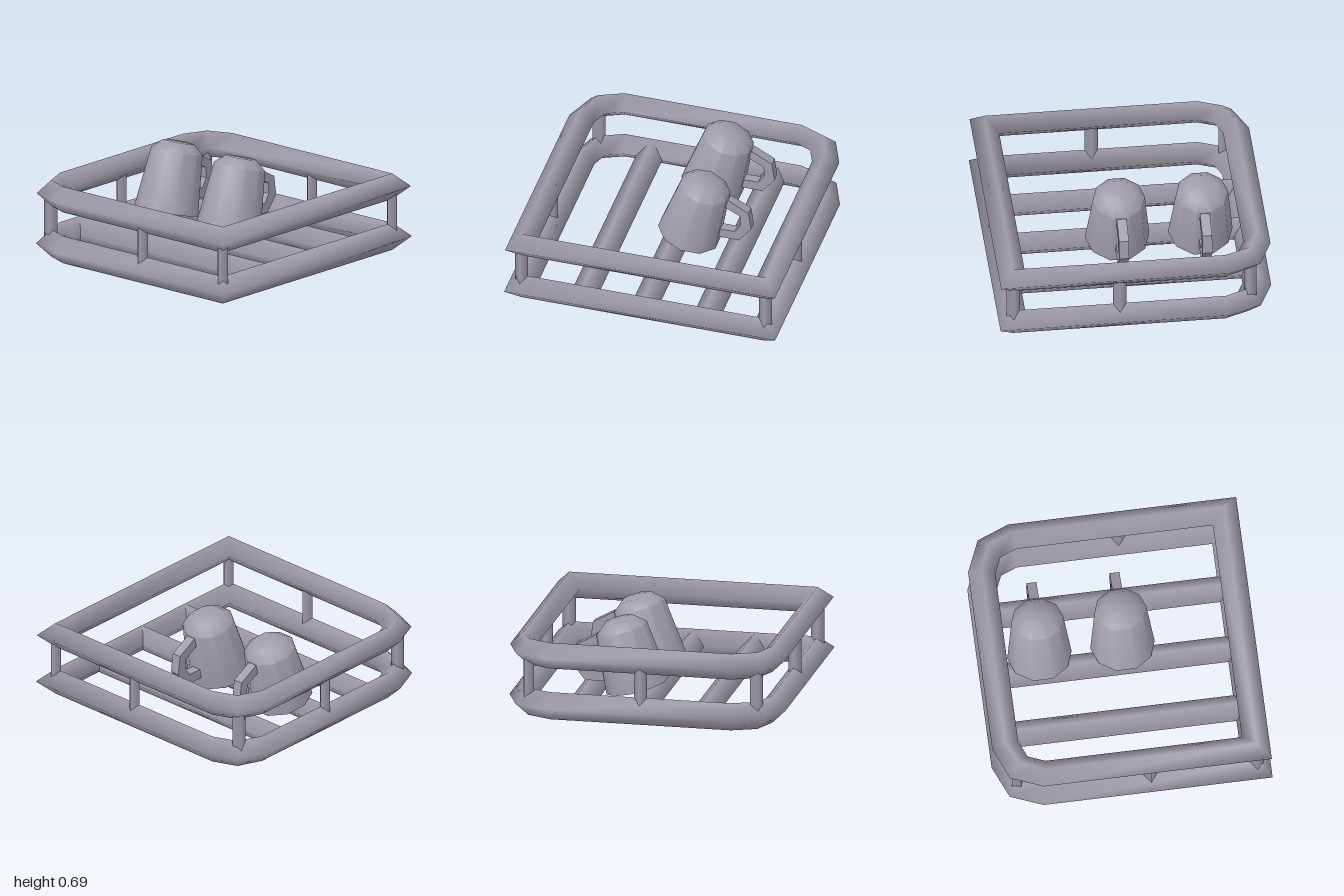
import * as THREE from 'three';
import { toCreasedNormals } from 'three/addons/utils/BufferGeometryUtils.js';

const grey = new THREE.MeshStandardMaterial({ color: 0xa09caa });
grey.name = 'warm grey';

function part(name, geometry, parent) {
  const mesh = new THREE.Mesh(geometry, grey);
  mesh.name = name;
  parent.add(mesh);
  return mesh;
}

// Closed rail with a diamond section, mitred at every corner of the path
function railGeometry(path, r) {
  const n = path.length, positions = [], index = [];
  const outward = (a, b) => new THREE.Vector2(b.y - a.y, a.x - b.x).normalize();
  for (let i = 0; i < n; i++) {
    const p = path[i];
    const n1 = outward(path[(i + n - 1) % n], p);
    const n2 = outward(p, path[(i + 1) % n]);
    const m = n1.clone().add(n2).multiplyScalar(r / (1 + n1.dot(n2)));
    positions.push(p.x + m.x, 0, p.y + m.y, p.x, r, p.y);
    positions.push(p.x - m.x, 0, p.y - m.y, p.x, -r, p.y);
    for (let k = 0; k < 4; k++) {
      const next = ((i + 1) % n) * 4, k2 = (k + 1) % 4;
      const a = i * 4 + k, b = next + k, c = next + k2, d = i * 4 + k2;
      index.push(a, d, b, b, d, c);
    }
  }
  const g = new THREE.BufferGeometry();
  g.setAttribute('position', new THREE.Float32BufferAttribute(positions, 3));
  g.setIndex(index);
  g.computeVertexNormals();
  return g;
}

// Upside-down cup leaning back, with a flat handle
function createMug() {
  const mug = new THREE.Group();
  mug.name = 'mug';
  const profile = [[0, 0.42], [0.14, 0.42], [0.165, 0], [0.23, 0], [0.185, 0.433], [0.11, 0.498], [0, 0.498]]
    .map(([x, y]) => new THREE.Vector2(x, y));
  const body = new THREE.LatheGeometry(profile, 10, Math.PI / 10);
  part('mugBody', toCreasedNormals(body, 0.9), mug);

  const outline = [
    [0.19, 0.08], [0.354, 0.127], [0.41, 0.262], [0.354, 0.39], [0.185, 0.43],
    [0.185, 0.36], [0.306, 0.335], [0.33, 0.262], [0.306, 0.186], [0.19, 0.153],
  ].map(([x, y]) => new THREE.Vector2(x, y));
  const handle = new THREE.ExtrudeGeometry(new THREE.Shape(outline), { depth: 0.07, bevelEnabled: false });
  handle.translate(0, 0, -0.035);
  handle.rotateY(Math.PI / 2);
  part('mugHandle', handle, mug);
  return mug;
}

export function createModel() {
  const rack = new THREE.Group();
  rack.name = 'dishRack';

  // Upper and lower rails: square right corners, bevelled left corners
  const path = [
    [0.88, -0.9], [0.88, 0.9], [-0.635, 0.9], [-0.81, 0.83], [-0.885, 0.655],
    [-0.885, -0.655], [-0.81, -0.83], [-0.635, -0.9],
  ].map(([x, z]) => new THREE.Vector2(x, z));
  part('lowerRail', railGeometry(path, 0.1), rack).position.y = 0.1;
  part('upperRail', railGeometry(path, 0.095), rack).position.y = 0.47;

  // Floor slats
  for (const z of [-0.455, 0, 0.448]) {
    const slat = new THREE.CylinderGeometry(0.097, 0.097, 1.765, 4);
    slat.rotateZ(Math.PI / 2);
    part('slat', slat, rack).position.set(-0.002, 0.1, z);
  }

  // Posts between the rails
  const postGeometry = new THREE.CylinderGeometry(0.048, 0.048, 0.37, 4, 1, true);
  const addPost = (x, z, turn = 0) => {
    const post = part('post', postGeometry, rack);
    post.position.set(x, 0.285, z);
    post.rotation.y = turn;
  };
  for (const s of [-1, 1]) {
    addPost(0.88, 0.9 * s);
    addPost(0.12, 0.9 * s);
    addPost(-0.82, 0.825 * s, 0.5 * s);
  }
  addPost(-0.885, 0);

  // Two mugs drying on the slats
  for (const x of [-0.545, 0.048]) {
    const mug = createMug();
    mug.position.set(x, 0.187, -0.095);
    mug.rotation.x = -0.27;
    rack.add(mug);
  }
  return rack;
}
